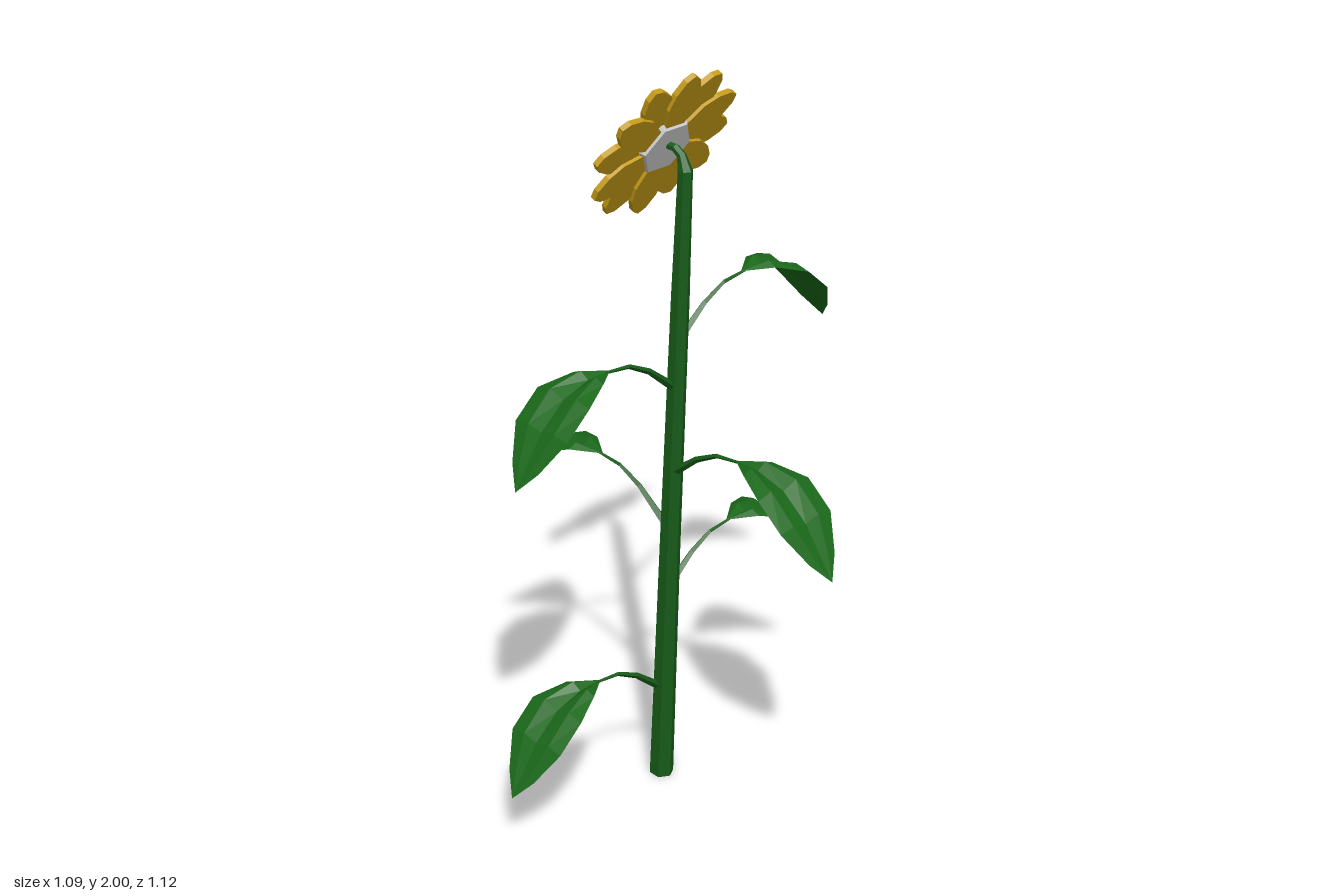
import * as THREE from 'three';

const paint = (color, extra = {}) => new THREE.MeshStandardMaterial({ color, flatShading: true, ...extra });
const stemGreen = paint(0x175c19);
const leafGreen = paint(0x1a681a, { side: THREE.DoubleSide });
const petalYellow = paint(0xc49a16);
const discBrown = paint(0x2c1c10);
const heartRed = paint(0x9c3518);
const grey = paint(0xcccccc);

function part(name, geometry, material) {
  const mesh = new THREE.Mesh(geometry, material);
  mesh.name = name;
  return mesh;
}

// Joins equally long rows of points into a flat-shaded skin
function skin(rows) {
  const n = rows[0].length;
  const index = [];
  for (let i = 0; i < rows.length - 1; i++) {
    for (let j = 0; j < n - 1; j++) {
      const a = i * n + j, b = a + n;
      index.push(a, a + 1, b, a + 1, b + 1, b);
    }
  }
  const indexed = new THREE.BufferGeometry().setFromPoints(rows.flat());
  indexed.setIndex(index);
  const geometry = indexed.toNonIndexed();
  geometry.computeVertexNormals();
  return geometry;
}

// Tapered stalk along a bent path in the y-z plane; stations are [y, z, radius]
function stalk(stations, sides) {
  const centres = stations.map(([y, z]) => new THREE.Vector3(0, y, z));
  const rows = centres.map((c, i) => {
    const before = centres[Math.max(i - 1, 0)];
    const after = centres[Math.min(i + 1, centres.length - 1)];
    const along = after.clone().sub(before).normalize();
    const across = new THREE.Vector3(1, 0, 0);
    const out = new THREE.Vector3().crossVectors(across, along);
    return Array.from({ length: sides + 1 }, (_, j) => {
      const a = (j / sides) * Math.PI * 2;
      return c.clone()
        .addScaledVector(out, Math.cos(a) * stations[i][2])
        .addScaledVector(across, Math.sin(a) * stations[i][2]);
    });
  });
  // Close both ends
  rows.unshift(rows[0].map(() => centres[0].clone()));
  rows.push(rows[0].map(() => centres[centres.length - 1].clone()));
  return skin(rows);
}

// Leaf reaching out along +z; heights are measured from its tip
function makeLeaf() {
  const leaf = new THREE.Group();
  leaf.add(part('leafStalk', stalk([
    [0.09, 0.0, 0.012], [0.17, 0.1, 0.008], [0.205, 0.17, 0.006], [0.214, 0.25, 0.004],
  ], 4), stemGreen));

  // Blade stations: distance, height, half width, depth of the midrib fold
  const stations = [
    [0.235, 0.215, 0, 0], [0.31, 0.23, 0.052, 0.016], [0.395, 0.205, 0.09, 0.016],
    [0.47, 0.137, 0.09, 0.01], [0.525, 0.055, 0.046, 0.005], [0.56, 0, 0, 0],
  ];
  const rows = stations.map(([z, y, w, fold]) => [-1, -0.5, 0, 0.5, 1].map((s) =>
    new THREE.Vector3(s * w, y - (s === 0 ? fold : Math.abs(s) === 1 ? fold * 0.7 : 0), z)));
  leaf.add(part('leafBlade', skin(rows), leafGreen));
  return leaf;
}

// Thick pointed petal pointing along +y
function petalGeometry() {
  const half = [[0.028, 0.06], [0.047, 0.125], [0.041, 0.17], [0.022, 0.207]];
  const outline = [...half, [0, 0.221], ...half.map(([x, y]) => [-x, y]).reverse()];
  const shape = new THREE.Shape(outline.map(([x, y]) => new THREE.Vector2(x, y)));
  return new THREE.ExtrudeGeometry(shape, { depth: 0.015, bevelEnabled: false });
}

// Six-sided plate facing +z; turn 0 puts a corner upwards
function hexPlate(top, bottom, depth, turn = 0) {
  return new THREE.CylinderGeometry(top, bottom, depth, 6).rotateX(Math.PI / 2).rotateZ(turn);
}

// Flower head, built facing +z
function makeFlower() {
  const flower = new THREE.Group();
  flower.name = 'flowerHead';
  const geometry = petalGeometry();
  for (let i = 0; i < 12; i++) {
    const petal = part('petal', geometry, petalYellow);
    petal.rotation.z = (i / 12) * Math.PI * 2;
    petal.position.z = i % 2 ? -0.003 : -0.012;
    flower.add(petal);
  }
  const back = part('flowerBack', hexPlate(0.09, 0.075, 0.024, Math.PI / 6), grey);
  back.position.z = -0.006;
  const disc = part('seedDisc', hexPlate(0.106, 0.112, 0.024), discBrown);
  disc.position.z = 0.016;
  const heart = part('seedHeart', hexPlate(0.067, 0.07, 0.014), heartRed);
  heart.position.z = 0.031;
  flower.add(back, disc, heart);
  return flower;
}

export function createModel() {
  const model = new THREE.Group();
  model.name = 'flower';

  // Leaning stem with a hooked neck
  model.add(part('stem', stalk([
    [0, -0.031, 0.033], [0.7, 0.001, 0.028], [1.42, 0.037, 0.024], [1.755, 0.053, 0.019],
    [1.79, 0.04, 0.012], [1.803, 0.02, 0.011], [1.805, -0.015, 0.011],
  ], 6), stemGreen));

  // Leaves: quarter turn about y, tip height, sideways offset in x and z
  const leaves = [
    [3, 0.18, 0, -0.025], [1, 0.48, 0, -0.015], [2, 0.685, -0.01, 0],
    [0, 0.83, -0.005, 0], [3, 1.08, 0, 0.025], [1, 1.205, 0, 0.026],
  ];
  leaves.forEach(([quarter, y, x, z], i) => {
    const leaf = makeLeaf();
    leaf.name = `leaf${i + 1}`;
    leaf.scale.z = quarter % 2 ? 0.975 : 1;
    leaf.rotation.y = quarter * Math.PI / 2;
    leaf.position.set(x, y, z);
    model.add(leaf);
  });

  // Head looks backwards and tilts up
  const flower = makeFlower();
  flower.rotation.set(-0.464, Math.PI, 0, 'YXZ');
  flower.position.set(0, 1.803, -0.022);
  model.add(flower);
  return model;
}
